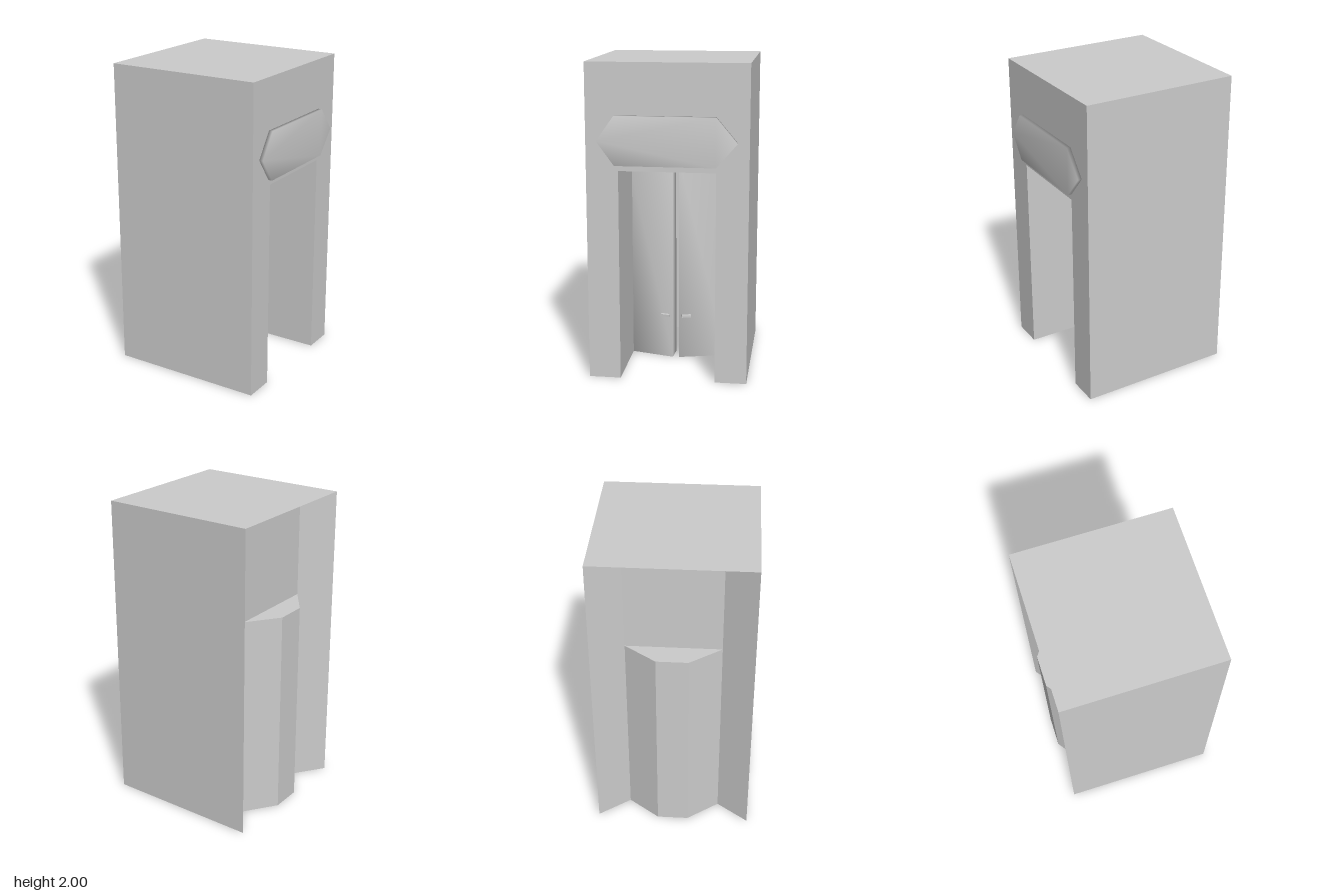
import * as THREE from 'three';
import { mergeVertices } from 'three/addons/utils/BufferGeometryUtils.js';

const FRONT = 0.485, BACK = -0.515, NOTCH = -0.37; // x positions
const SIDE = 0.5, JAMB = 0.3;                      // half widths in z
const TOP = 2, DOOR_TOP = 1.34;

const material = new THREE.MeshStandardMaterial({ color: 0xcccccc, side: THREE.DoubleSide });

const shapeOf = (pts) => new THREE.Shape(pts.map(([a, b]) => new THREE.Vector2(a, b)));

// Upright sheet following a plan path of [x, z] points
function ribbon(path, y0, y1) {
  const pos = [];
  for (let i = 0; i < path.length - 1; i++) {
    const [ax, az] = path[i], [bx, bz] = path[i + 1];
    pos.push(ax, y0, az, bx, y0, bz, bx, y1, bz, ax, y0, az, bx, y1, bz, ax, y1, az);
  }
  const g = new THREE.BufferGeometry();
  g.setAttribute('position', new THREE.Float32BufferAttribute(pos, 3));
  g.computeVertexNormals();
  return g;
}

// Level sheet from a plan outline of [x, z] points
const level = (outline, y) =>
  new THREE.ShapeGeometry(shapeOf(outline.map(([x, z]) => [x, -z]))).rotateX(-Math.PI / 2).translate(0, y, 0);

// Shares vertices so shading rolls over the edges
function softened(g) {
  g.deleteAttribute('normal');
  g.deleteAttribute('uv');
  const m = mergeVertices(g);
  m.computeVertexNormals();
  return m;
}

export function createModel() {
  const model = new THREE.Group();
  const add = (name, geometry, parent = model) => {
    const mesh = new THREE.Mesh(geometry, material);
    mesh.name = name;
    parent.add(mesh);
    return mesh;
  };

  // Cabinet: side walls with slanted returns at the back
  for (const s of [1, -1]) {
    add(s > 0 ? 'leftWall' : 'rightWall',
      ribbon([[FRONT, s * SIDE], [BACK, s * SIDE], [NOTCH, s * JAMB]], 0, TOP));
  }
  add('roof', level([[BACK, SIDE], [FRONT, SIDE], [FRONT, -SIDE], [BACK, -SIDE]], TOP));
  add('upperBackPanel', ribbon([[NOTCH, -JAMB], [NOTCH, JAMB]], DOOR_TOP, TOP));

  // Face with the doorway
  const face = shapeOf([[-SIDE, 0], [-JAMB, 0], [-JAMB, DOOR_TOP], [JAMB, DOOR_TOP],
    [JAMB, 0], [SIDE, 0], [SIDE, TOP], [-SIDE, TOP]]);
  add('doorwayFace', new THREE.ShapeGeometry(face).rotateY(Math.PI / 2).translate(FRONT, 0, 0));

  // Passage ending in a faceted alcove
  const passage = [[FRONT, JAMB], [NOTCH, JAMB], [BACK, 0.1], [BACK, -0.1], [NOTCH, -JAMB], [FRONT, -JAMB]];
  add('passageWall', ribbon(passage, 0, DOOR_TOP));
  add('passageCeiling', level(passage, DOOR_TOP));

  // Pair of thick door leaves, slightly ajar, each with a low handle
  for (const s of [1, -1]) {
    const door = new THREE.Group();
    door.name = s > 0 ? 'leftDoor' : 'rightDoor';
    const plan = [[0, 0.325], [0.08, 0.02], [-0.03, 0.012], [-0.105, 0.29]].map(([x, z]) => [x, -s * z]);
    const leaf = new THREE.ExtrudeGeometry(shapeOf(plan), { depth: DOOR_TOP, bevelEnabled: false });
    add('doorLeaf', softened(leaf.rotateX(-Math.PI / 2)), door);
    const handle = add('doorHandle', new THREE.BoxGeometry(0.03, 0.015, 0.06), door);
    handle.position.set(0.075, 0.292, s * 0.07);
    handle.rotation.y = -s * 0.26;
    model.add(door);
  }

  // Six-sided plaque above the doorway
  const plaque = shapeOf([[-0.43, 1.525], [-0.32, 1.375], [0.3, 1.375], [0.43, 1.525], [0.3, 1.68], [-0.32, 1.68]]);
  const plate = new THREE.ExtrudeGeometry(plaque, { depth: 0.025, bevelEnabled: false });
  add('plaque', softened(plate.rotateY(Math.PI / 2).translate(FRONT, 0, 0)));

  return model;
}
